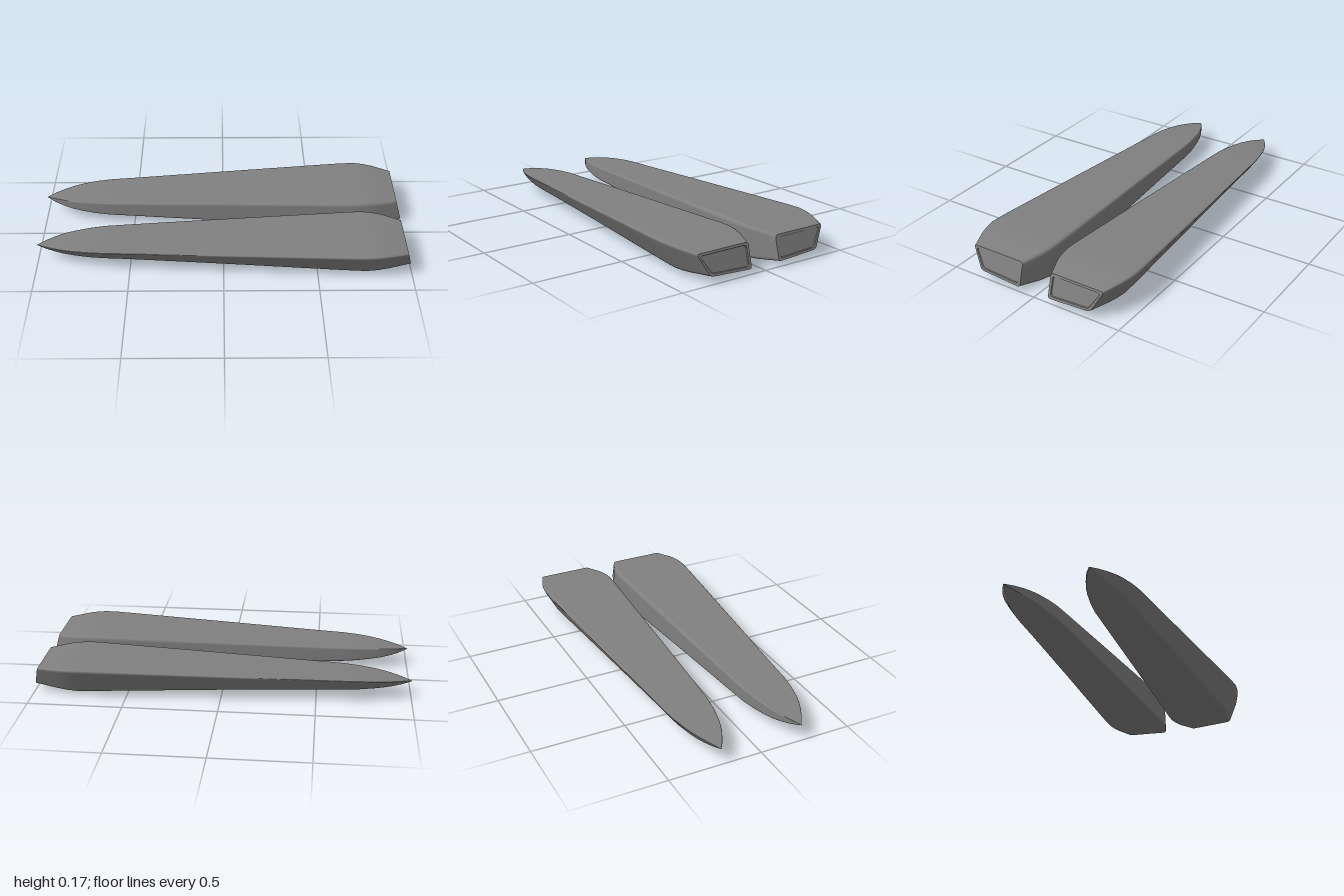
import * as THREE from 'three';

// stations along the pod: x, inner z, outer z, top y, bottom y
const STATIONS = [
  [-1, 0.222, 0.224, 0.096, 0.094],
  [-0.95, 0.19, 0.256, 0.106, 0.081],
  [-0.9, 0.164, 0.283, 0.113, 0.073],
  [-0.85, 0.144, 0.305, 0.119, 0.067],
  [-0.8, 0.13, 0.321, 0.124, 0.063],
  [-0.72, 0.113, 0.339, 0.13, 0.057],
  [-0.64, 0.101, 0.35, 0.134, 0.054],
  [-0.5, 0.092, 0.36, 0.138, 0.051],
  [0, 0.065, 0.4, 0.154, 0.034],
  [0.6, 0.034, 0.447, 0.173, 0.009],
  [0.69, 0.029, 0.453, 0.176, 0.005],
  [0.76, 0.028, 0.455, 0.177, 0.002],
  [0.81, 0.034, 0.448, 0.175, 0.005],
  [0.86, 0.045, 0.435, 0.171, 0.012],
  [0.965, 0.086, 0.395, 0.157, 0.03],
];
const CORNER_STEPS = 4;

// rounded, slanted-side cross-section; the rear leans so its foot reaches further out
function section([x, zi, zo, top, bot]) {
  const h = top - bot, r = h * 0.13;
  const lean = THREE.MathUtils.clamp((x - 0.76) / 0.205, 0, 1) * 0.035;
  const corners = [
    [zi, top], [zo, top],
    [zi + (zo - zi) * 0.8, bot + h * 0.1], [zi, bot],
  ].map(([z, y]) => new THREE.Vector2(z, y));
  const ring = [];
  corners.forEach((c, i) => {
    const toward = (o) => c.clone().add(o.clone().sub(c).setLength(Math.min(r, c.distanceTo(o) * 0.4)));
    const curve = new THREE.QuadraticBezierCurve(
      toward(corners[(i + 3) % 4]), c, toward(corners[(i + 1) % 4]));
    for (const p of curve.getPoints(CORNER_STEPS)) {
      ring.push(new THREE.Vector3(x + lean * (top - p.y) / h, p.y, p.x));
    }
  });
  return ring;
}

// skin a list of rings; side = -1 mirrors the skin in z
function loft(rings, side) {
  const n = rings[0].length, pos = [], idx = [];
  rings.forEach((ring) => ring.forEach((p) => pos.push(p.x, p.y, p.z * side)));
  for (let i = 0; i < rings.length - 1; i++) {
    for (let j = 0; j < n; j++) {
      const a = i * n + j, b = i * n + (j + 1) % n, c = a + n, d = b + n;
      if (side > 0) idx.push(a, b, c, b, d, c);
      else idx.push(a, c, b, b, c, d);
    }
  }
  const g = new THREE.BufferGeometry();
  g.setAttribute('position', new THREE.Float32BufferAttribute(pos, 3));
  g.setIndex(idx);
  g.computeVertexNormals();
  return g;
}

export function createModel() {
  const model = new THREE.Group();
  model.name = 'podPair';
  const grey = new THREE.MeshStandardMaterial({ color: 0x808080 });
  grey.name = 'hull grey';

  const hull = STATIONS.map(section);
  const end = hull[hull.length - 1];
  const centre = end.reduce((s, p) => s.add(p), new THREE.Vector3()).divideScalar(end.length);

  // end face: narrow rim, shallow step and recessed panel
  const scaled = (ky, kz, dx) => end.map((p) => {
    const y = centre.y + (p.y - centre.y) * ky;
    const x = centre.x + (p.x - centre.x) * ky + dx;
    return new THREE.Vector3(x, y, centre.z + (p.z - centre.z) * kz);
  });
  const rim = scaled(0.8, 0.9, 0);
  const sunk = scaled(0.76, 0.88, -0.005);
  const middle = scaled(0, 0, -0.005);

  for (const side of [1, -1]) {
    const pod = new THREE.Group();
    pod.name = side > 0 ? 'frontPod' : 'backPod';
    const parts = { hull, endRim: [end, rim], endStep: [rim, sunk], endPanel: [sunk, middle] };
    for (const [name, rings] of Object.entries(parts)) {
      const mesh = new THREE.Mesh(loft(rings, side), grey);
      mesh.name = name;
      pod.add(mesh);
    }
    model.add(pod);
  }
  return model;
}
